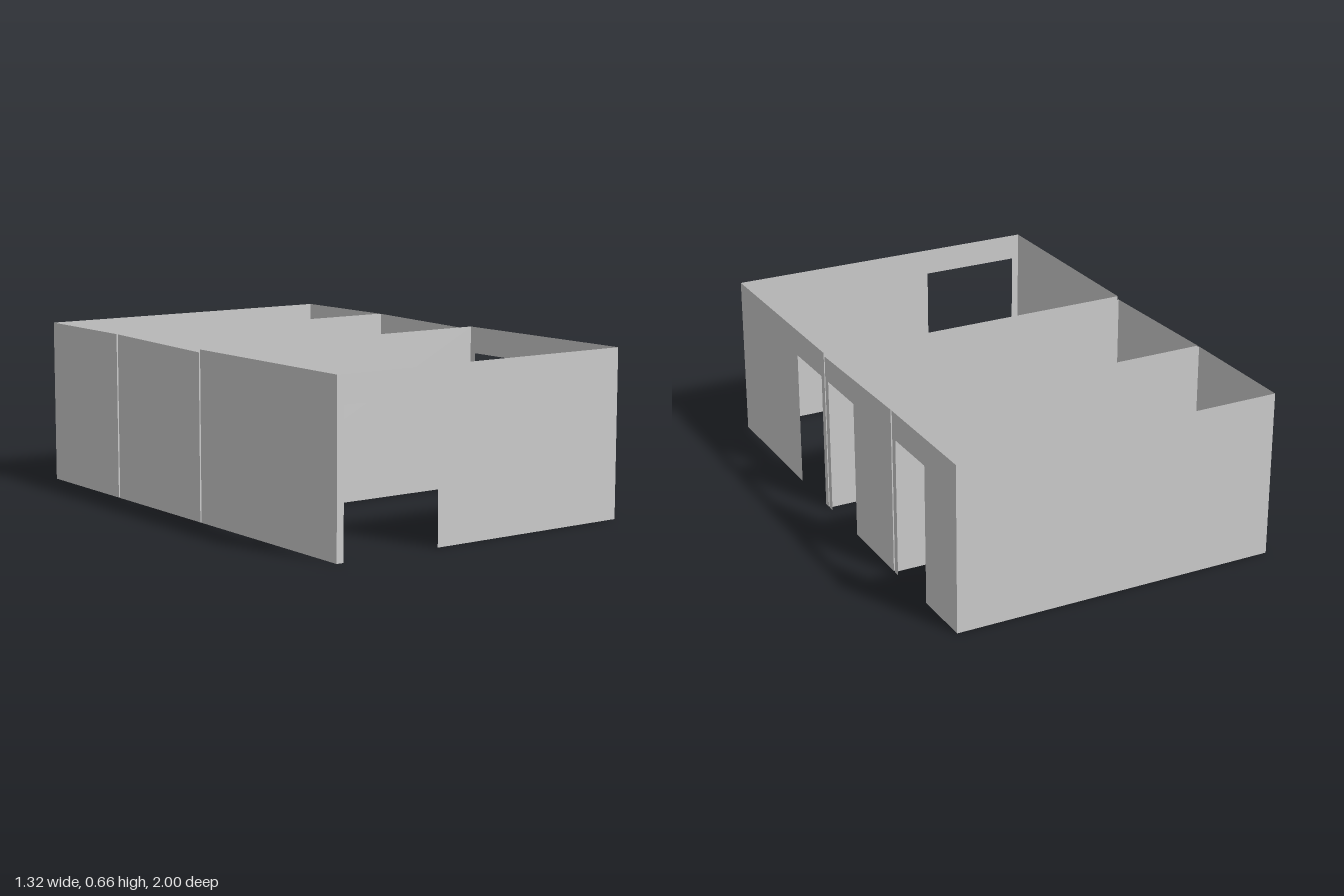
import * as THREE from 'three';

const HALF = 0.66, HEIGHT = 0.663, DOOR_TOP = 0.555;
const material = new THREE.MeshStandardMaterial({ color: 0xcccccc, side: THREE.DoubleSide });

// Thin wall from a to b, with its own height at each end and an optional door cut up from the floor
function wall(name, a, b, ha, hb, door) {
  const points = [[a, 0]];
  if (door) points.push([door[0], 0], [door[0], DOOR_TOP], [door[1], DOOR_TOP], [door[1], 0]);
  points.push([b, 0], [b, hb], [a, ha]);
  const shape = new THREE.Shape(points.map(([u, y]) => new THREE.Vector2(u, y)));
  const mesh = new THREE.Mesh(new THREE.ShapeGeometry(shape), material);
  mesh.name = name;
  return mesh;
}

// Four walls around one room; the side walls run along z
function room({ name, back, front, backHeight, frontHeight, sideDoor, frontDoor }) {
  const group = new THREE.Group();
  group.name = name;

  const frontWall = wall('frontWall', -HALF, HALF, frontHeight, frontHeight, frontDoor);
  frontWall.position.z = front;
  const backWall = wall('backWall', -HALF, HALF, backHeight, backHeight);
  backWall.position.z = back;
  group.add(frontWall, backWall);

  for (const side of [-1, 1]) {
    const sideWall = wall(side > 0 ? 'leftWall' : 'rightWall', back, front,
      backHeight, frontHeight, side > 0 ? sideDoor : null);
    sideWall.geometry.rotateY(-Math.PI / 2);
    sideWall.position.x = side * HALF;
    group.add(sideWall);
  }
  return group;
}

export function createModel() {
  const model = new THREE.Group();
  model.name = 'building';
  const rooms = [
    { name: 'frontRoom', back: 0.133, front: 1, backHeight: HEIGHT, frontHeight: HEIGHT,
      sideDoor: [0.16, 0.4], frontDoor: [-0.63, -0.21] },
    // The middle room's top drops slightly towards the front
    { name: 'middleRoom', back: -0.474, front: 0.124, backHeight: HEIGHT, frontHeight: 0.651,
      sideDoor: [-0.14, 0.097] },
    { name: 'backRoom', back: -1, front: -0.484, backHeight: HEIGHT, frontHeight: HEIGHT,
      sideDoor: [-0.75, -0.51] },
  ];
  rooms.forEach((r) => model.add(room(r)));
  return model;
}
